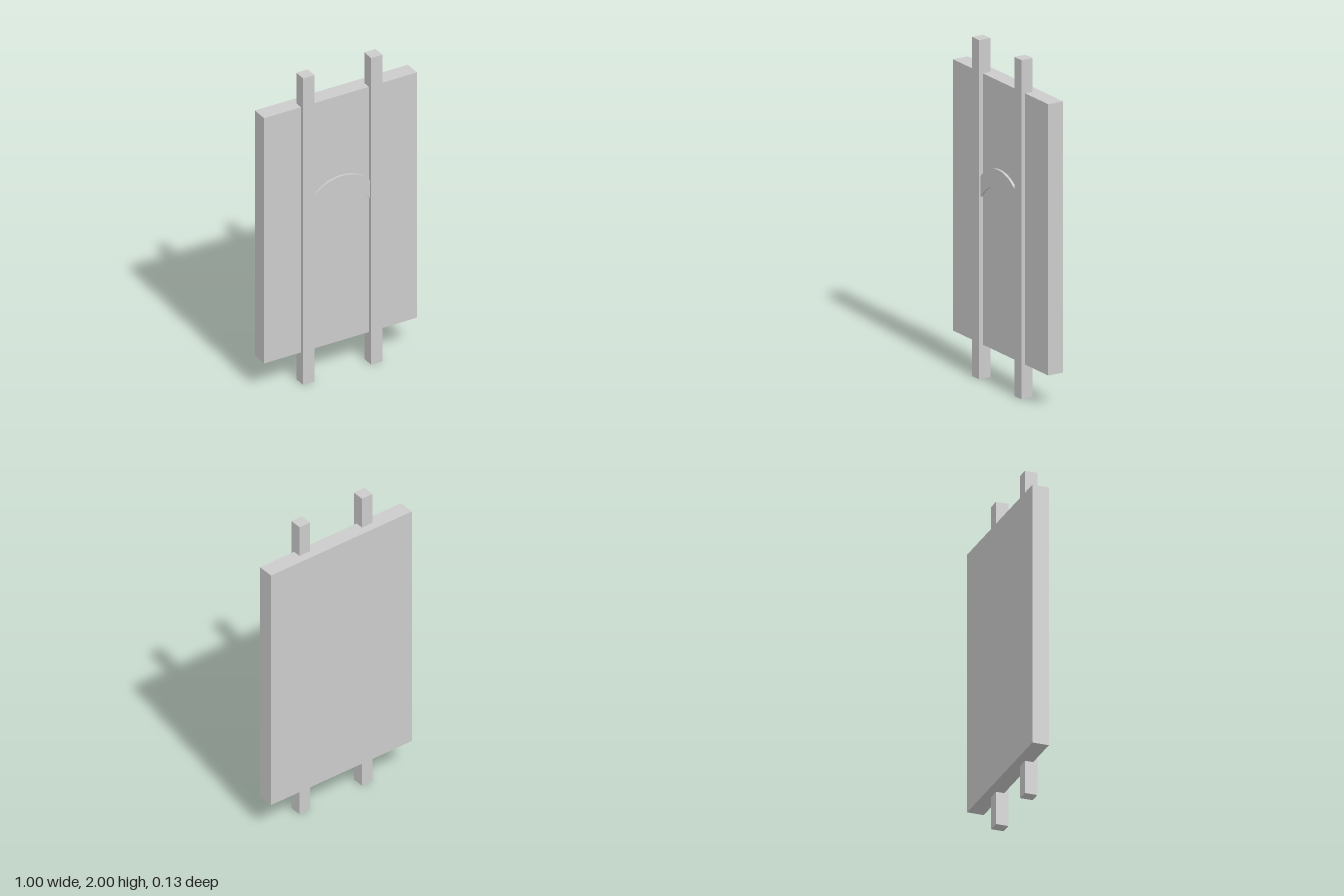
import * as THREE from 'three';

export function createModel() {
  const group = new THREE.Group();
  const material = new THREE.MeshStandardMaterial({ color: 0xcccccc });

  function add(name, geometry, x, y, z) {
    const mesh = new THREE.Mesh(geometry, material);
    mesh.name = name;
    mesh.position.set(x, y, z);
    group.add(mesh);
  }

  // Flat board
  add('panel', new THREE.BoxGeometry(1, 1.6, 0.1), 0, 1, -0.0135);

  // Two uprights let into the front of the board
  for (const [name, side] of [['leftPost', 1], ['rightPost', -1]]) {
    add(name, new THREE.BoxGeometry(0.074, 2, 0.075), side * 0.222, 1, 0.0245);
  }

  // Shallow arched band between the uprights
  const half = 0.187;
  const arcPoints = (top, end) => {
    const rise = top - end;
    const radius = (half * half + rise * rise) / (2 * rise);
    const spread = Math.asin(half / radius);
    const points = [];
    for (let i = 0; i <= 32; i++) {
      const a = spread * (i / 16 - 1);
      points.push(new THREE.Vector2(radius * Math.sin(a), top - radius * (1 - Math.cos(a))));
    }
    return points;
  };
  const outline = [...arcPoints(1.172, 1.072), ...arcPoints(1.281, 1.195).reverse()];
  const arch = new THREE.ExtrudeGeometry(new THREE.Shape(outline), { depth: 0.03, bevelEnabled: false });
  add('archBand', arch, 0, 0, 0.021);

  return group;
}
